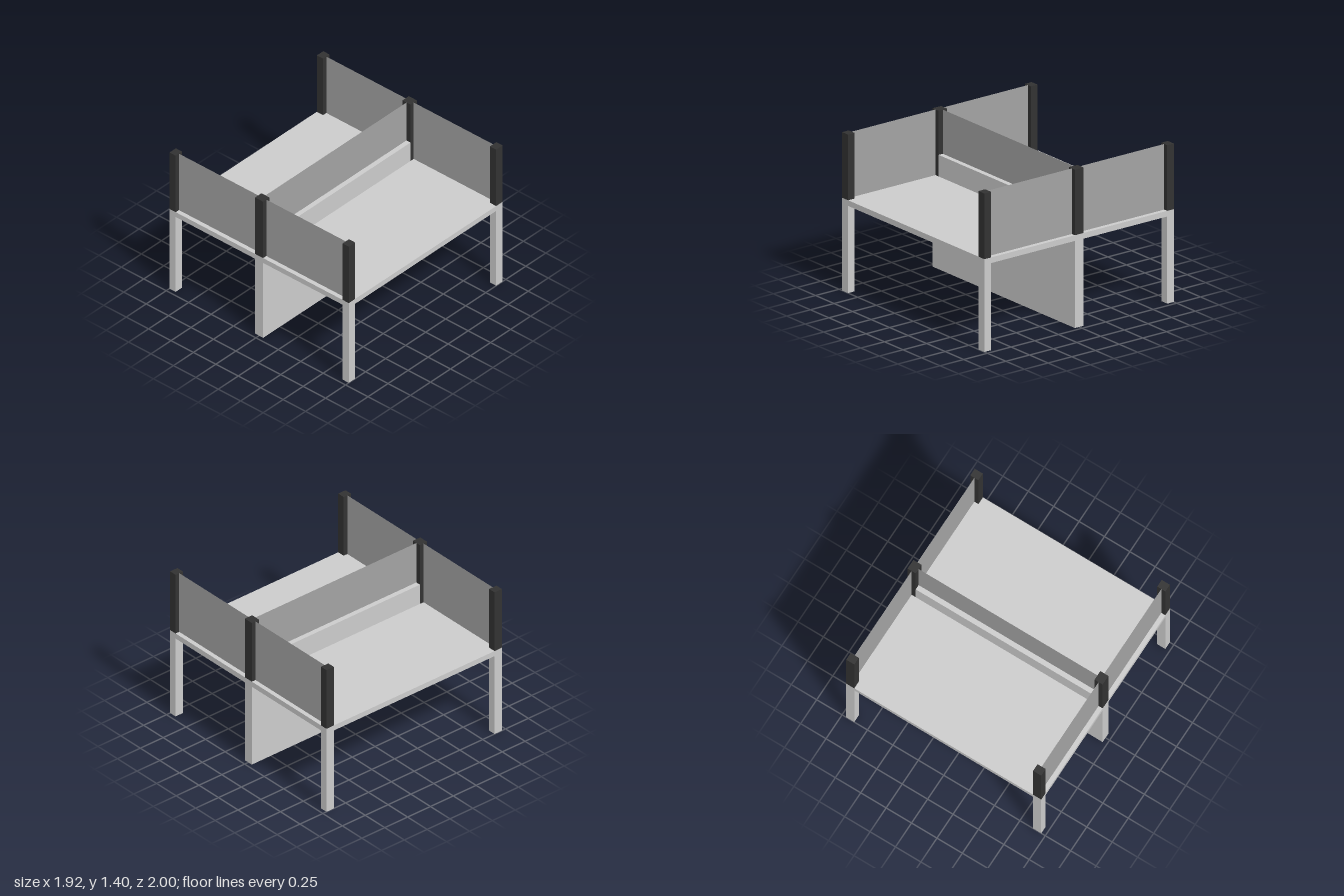
import * as THREE from 'three';

const grey = new THREE.MeshStandardMaterial({ color: 0xcccccc });
const dark = new THREE.MeshStandardMaterial({ color: 0x323232 });
const screenGrey = new THREE.MeshStandardMaterial({ color: 0xa3a3a3, side: THREE.DoubleSide });

const HALF_W = 0.96, POST_W = 0.08, POST_X = HALF_W - POST_W / 2;
const END_D = 0.07, MID_D = 0.09, END_Z = 1 - END_D / 2;
const UNDER = 0.77, DESK = 0.82, LEDGE = 1.01, TOP = 1.4;

export function createModel() {
  const group = new THREE.Group();

  const box = (name, w, d, y0, y1, x, z, material) => {
    const mesh = new THREE.Mesh(new THREE.BoxGeometry(w, y1 - y0, d), material);
    mesh.position.set(x, (y0 + y1) / 2, z);
    mesh.name = name;
    group.add(mesh);
  };
  const screen = (name, w, y0, x, z, turn) => {
    const mesh = new THREE.Mesh(new THREE.PlaneGeometry(w, TOP - y0), screenGrey);
    mesh.position.set(x, (y0 + TOP) / 2, z);
    mesh.rotation.y = turn;
    mesh.name = name;
    group.add(mesh);
  };

  // Shared worktop, central support wall and ledge
  box('worktop', HALF_W * 2, 2, UNDER, DESK, 0, 0, grey);
  box('supportWall', HALF_W * 2, MID_D, 0, UNDER, 0, 0, grey);
  box('centreLedge', (HALF_W - POST_W) * 2, MID_D, DESK, LEDGE, 0, 0, grey);
  screen('centreScreen', (HALF_W - POST_W) * 2, LEDGE, 0, 0, 0);

  for (const side of [-1, 1]) {
    const x = side * POST_X;
    const name = side > 0 ? 'left' : 'right';
    box(name + 'MiddlePost', POST_W, MID_D, DESK, TOP, x, 0, dark);

    // Corner legs, posts and the thin side screens between the posts
    for (const end of [-1, 1]) {
      const corner = name + (end > 0 ? 'Front' : 'Back');
      box(corner + 'Leg', POST_W, END_D, 0, UNDER, x, end * END_Z, grey);
      box(corner + 'Post', POST_W, END_D, DESK, TOP, x, end * END_Z, dark);
      const inner = MID_D / 2, outer = 1 - END_D;
      screen(corner + 'Screen', outer - inner, DESK, x, end * (inner + outer) / 2, side * Math.PI / 2);
    }
  }
  return group;
}
